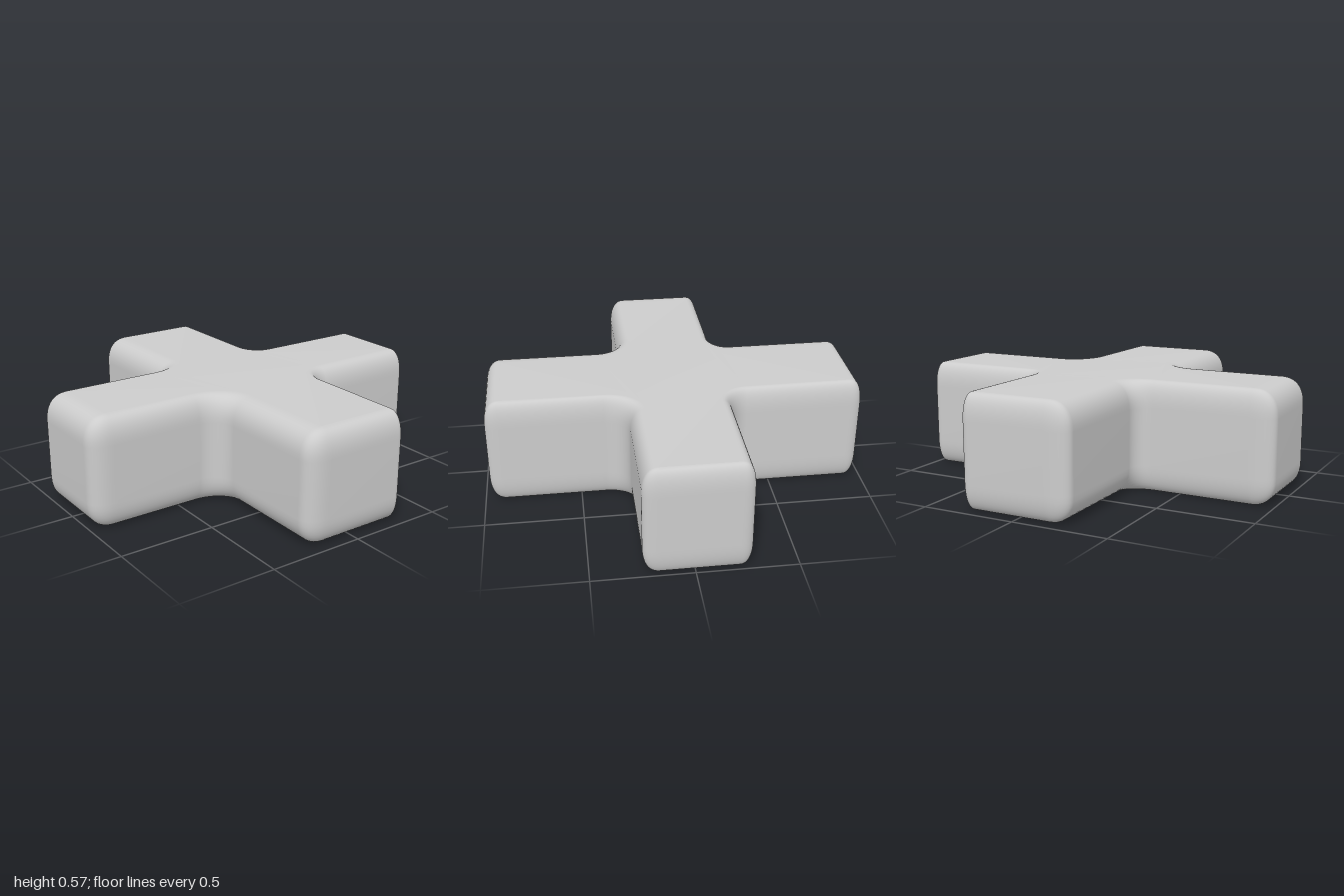
import * as THREE from 'three';

const HEIGHT = 0.575, EDGE = 0.14; // total height, height of the rounded edge
const ARC = 10, STEPS = 10;        // segments per plan corner and per rounded edge
const POWER = 0.85;                // below 1: squarer than a circle

// how far the rounded edge reaches in from faces looking along +x, -x, +z, -z
const reachX = (s) => (s > 0 ? 0.08 : 0.06);
const reachZ = (s) => (s > 0 ? 0.12 : 0.045);
const bulge = (v) => Math.sign(v) * Math.pow(Math.abs(v), POWER);

// plan corners: x, z, then facing direction before and after, in quarter turns from +x to +z
const corners = [
  [0.97, -0.305, -1, 0], [0.97, 0.28, 0, 1], [0.25, 0.28, 1, 0],
  [0.25, 1, 0, 1], [-0.275, 1, 1, 2], [-0.275, 0.28, 2, 1],
  [-0.97, 0.28, 1, 2], [-0.97, -0.305, 2, 3], [-0.275, -0.305, 3, 2],
  [-0.275, -1, 2, 3], [0.25, -1, 3, 4], [0.25, -0.305, 4, 3],
];

// outline points with the inward offset that the rounded edge follows
function makeOutline() {
  const points = [];
  for (const [x, z, from, to] of corners) {
    const mid = (from + to) * Math.PI / 4;
    const sx = Math.sign(Math.cos(mid)), sz = Math.sign(Math.sin(mid));
    const outer = to > from;
    const fillet = sx > 0 ? 0.12 : 0.085;
    const rx = outer ? reachX(sx) * 1.05 : -fillet;
    const rz = outer ? reachZ(sz) * 1.05 : -fillet;
    for (let i = 0; i <= ARC; i++) {
      const a = (from + (to - from) * i / ARC) * Math.PI / 2;
      const c = outer ? bulge(Math.cos(a)) : Math.cos(a);
      const s = outer ? bulge(Math.sin(a)) : Math.sin(a);
      points.push({
        x: x - sx * rx + c * rx, z: z - sz * rz + s * rz,
        dx: c * reachX(sx), dz: s * reachZ(sz),
      });
    }
  }
  return points;
}

// stack the outline in rings from bottom to top, inset along the rounded edges
function makeCross() {
  const outline = makeOutline(), n = outline.length;
  const rings = [];
  for (let i = 0; i <= STEPS; i++) {
    const a = i / STEPS * Math.PI / 2;
    rings.push([EDGE * (1 - bulge(Math.sin(a))), 1 - bulge(Math.cos(a))]);
  }
  const profile = [
    ...rings.slice().reverse(),
    ...rings.map(([y, inset]) => [HEIGHT - y, inset]),
  ];
  const positions = [], index = [];
  profile.forEach(([y, inset], j) => {
    outline.forEach((p, i) => {
      positions.push(p.x - p.dx * inset, y, p.z - p.dz * inset);
      if (j === profile.length - 1) return;
      const a = j * n + i, b = j * n + (i + 1) % n;
      index.push(a, a + n, b, b, a + n, b + n);
    });
  });
  // flat bottom and top
  const flat = outline.map((p) => new THREE.Vector2(p.x - p.dx, p.z - p.dz));
  const last = (profile.length - 1) * n;
  for (const [a, b, c] of THREE.ShapeUtils.triangulateShape(flat, [])) {
    index.push(a, b, c, last + a, last + c, last + b);
  }
  const geometry = new THREE.BufferGeometry();
  geometry.setAttribute('position', new THREE.Float32BufferAttribute(positions, 3));
  geometry.setIndex(index);
  geometry.computeVertexNormals();
  return geometry;
}

export function createModel() {
  const group = new THREE.Group();
  group.name = 'roundedCross';
  const grey = new THREE.MeshStandardMaterial({ color: 0xcccccc });
  grey.name = 'light grey';
  const body = new THREE.Mesh(makeCross(), grey);
  body.name = 'crossBody';
  group.add(body);
  return group;
}
